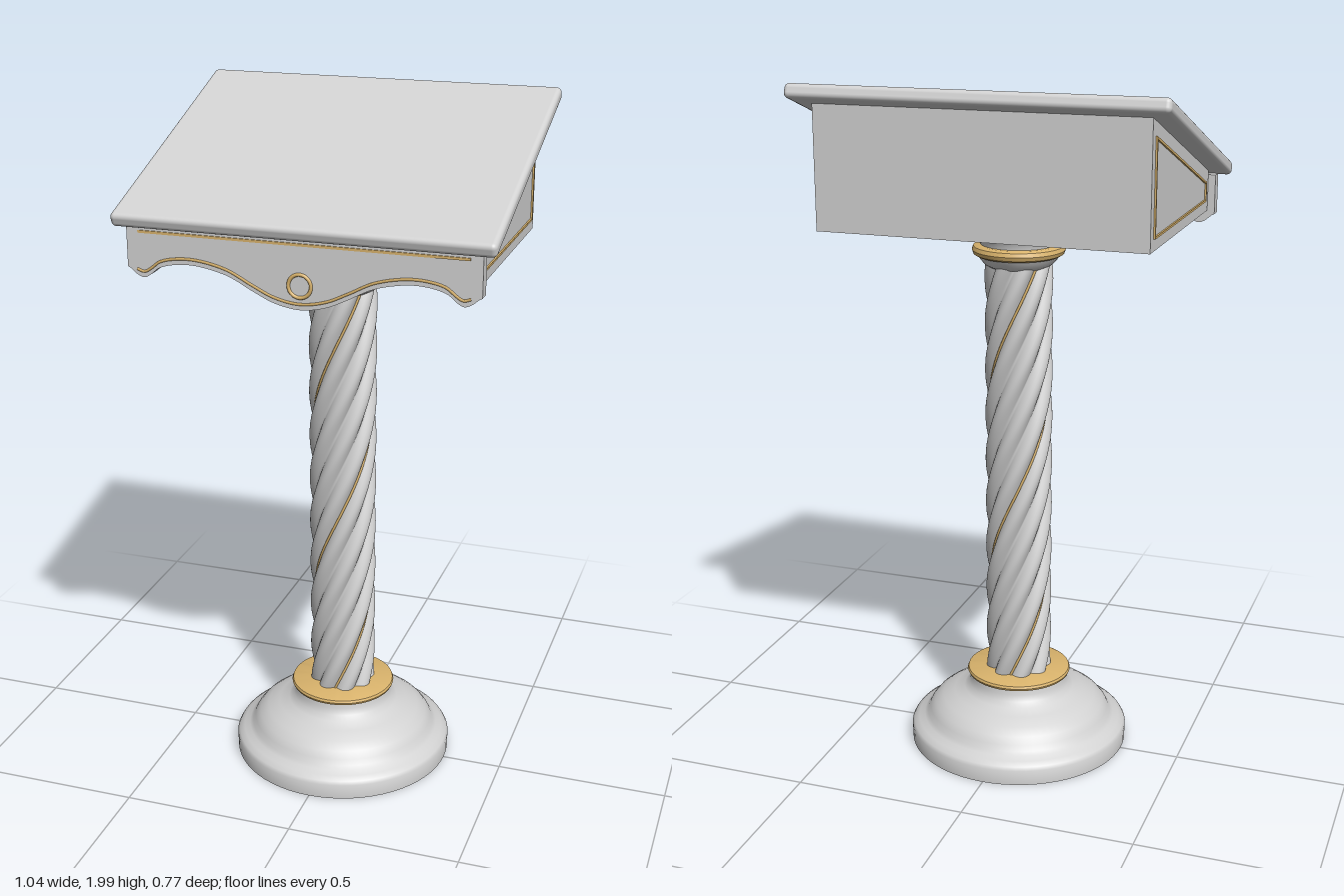
import * as THREE from 'three';
import { mergeVertices, toCreasedNormals } from 'three/addons/utils/BufferGeometryUtils.js';
import { RoundedBoxGeometry } from 'three/addons/geometries/RoundedBoxGeometry.js';

export function createModel() {
  const model = new THREE.Group();
  model.name = 'lectern';

  const paint = (name, color) => {
    const m = new THREE.MeshStandardMaterial({ color });
    m.name = name;
    return m;
  };
  const stone = paint('pale stone', 0xd2d2d2);
  const gold = paint('gold', 0xd9b36c);

  const add = (name, geometry, material, x = 0, y = 0, z = 0) => {
    const mesh = new THREE.Mesh(geometry, material);
    mesh.name = name;
    mesh.position.set(x, y, z);
    model.add(mesh);
    return mesh;
  };
  const vectors = (pts) => pts.map(([x, y]) => new THREE.Vector2(x, y));
  const turned = (name, pts, material) =>
    add(name, toCreasedNormals(new THREE.LatheGeometry(vectors(pts), 64), 0.6), material);

  // Turned foot and its gold collar
  turned('base', [
    [0, 0.01], [0.325, 0.01], [0.326, 0.055], [0.32, 0.065], [0.305, 0.075], [0.288, 0.083],
    [0.278, 0.092], [0.27, 0.108], [0.255, 0.127], [0.23, 0.145], [0.195, 0.16], [0.165, 0.173],
    [0.15, 0.186], [0.143, 0.205], [0.141, 0.222], [0, 0.222],
  ], stone);
  turned('baseCollar', [
    [0, 0.22], [0.145, 0.22], [0.152, 0.223], [0.155, 0.23], [0.152, 0.237], [0.145, 0.24], [0, 0.24],
  ], gold);

  // Twisted column: eight rounded strands, turning with height
  const bottom = 0.235, height = 1.265, strands = 8;
  const turnPerUnit = (Math.PI * 2) / 1.08;
  const columnGeo = new THREE.CylinderGeometry(1, 1, height, 96, 120, true);
  columnGeo.deleteAttribute('uv');
  columnGeo.deleteAttribute('normal');
  const p = columnGeo.attributes.position;
  for (let i = 0; i < p.count; i++) {
    const a = Math.atan2(p.getX(i), p.getZ(i));
    const y = p.getY(i) + height / 2;
    const r = 0.077 + 0.02 * Math.abs(Math.sin((a * strands) / 2));
    const t = a + y * turnPerUnit;
    p.setXYZ(i, r * Math.sin(t), y, r * Math.cos(t));
  }
  const column = mergeVertices(columnGeo, 1e-5);
  column.computeVertexNormals();
  add('twistedColumn', column, stone, 0, bottom);

  // Fine gold threads lying in two of the grooves
  for (const start of [0, Math.PI]) {
    const pts = [];
    for (let i = 0; i <= 60; i++) {
      const y = (height * i) / 60, t = start + y * turnPerUnit;
      pts.push(new THREE.Vector3(0.08 * Math.sin(t), y, 0.08 * Math.cos(t)));
    }
    const thread = new THREE.TubeGeometry(new THREE.CatmullRomCurve3(pts), 180, 0.004, 6);
    add('columnThread', thread, gold, 0, bottom);
  }

  // Capital under the desk
  turned('capitalNeck', [
    [0, 1.475], [0.085, 1.475], [0.098, 1.483], [0.11, 1.497], [0.117, 1.512], [0, 1.512],
  ], stone);
  turned('capitalRing', [
    [0, 1.507], [0.12, 1.507], [0.128, 1.512], [0.132, 1.523], [0.128, 1.534], [0.12, 1.539], [0, 1.539],
  ], gold);
  turned('capitalTop', [
    [0, 1.537], [0.108, 1.537], [0.11, 1.555], [0.118, 1.567], [0.135, 1.576], [0.149, 1.582],
    [0.149, 1.603], [0, 1.603],
  ], stone);

  // Side outlines are drawn as (-z, y) and extruded along x
  const extrudeAlongX = (shape, depth) =>
    new THREE.ExtrudeGeometry(shape, { depth, bevelEnabled: false }).rotateY(Math.PI / 2);

  // Wedge-shaped desk body
  const body = new THREE.Shape(vectors([[-0.32, 1.603], [0.33, 1.603], [0.33, 1.945], [-0.32, 1.719]]));
  add('deskBody', extrudeAlongX(body, 0.926), stone, -0.463);

  // Thin gold frame on each side of the desk
  const frame = new THREE.Shape(vectors([[-0.285, 1.635], [0.3, 1.635], [0.3, 1.895], [-0.285, 1.69]]));
  frame.holes.push(new THREE.Path(vectors(
    [[-0.279, 1.641], [-0.279, 1.6857], [0.294, 1.886], [0.294, 1.641]])));
  for (const x of [0.463, -0.468]) add('sideFrame', extrudeAlongX(frame, 0.005), gold, x);

  // Sloping book board
  const board = add('bookBoard', new RoundedBoxGeometry(1.04, 0.04, 0.81, 4, 0.014), stone, 0, 1.85, 0);
  board.rotation.x = 0.335;

  // Scalloped apron below the front edge
  const half = [[0.475, 1.588], [0.455, 1.572], [0.435, 1.566], [0.415, 1.577], [0.39, 1.596], [0.34, 1.608],
    [0.28, 1.608], [0.2, 1.59], [0.13, 1.555], [0.07, 1.528]];
  const edge = [...half.map(([x, y]) => [-x, y]), [0, 1.516], ...half.slice().reverse()];
  const apron = new THREE.Shape();
  apron.moveTo(0.483, 1.705);
  apron.lineTo(-0.483, 1.705);
  apron.lineTo(-0.483, 1.592);
  apron.lineTo(...edge[0]);
  apron.splineThru(vectors(edge.slice(1)));
  apron.lineTo(0.483, 1.592);
  apron.closePath();
  const apronGeo = new THREE.ExtrudeGeometry(apron, { depth: 0.035, bevelEnabled: false, curveSegments: 4 });
  add('apron', toCreasedNormals(apronGeo, 0.5), stone, 0, 0, 0.325);
  add('apronBacking', new THREE.BoxGeometry(0.9, 0.09, 0.01), stone, 0, 1.655, 0.321);

  // Gold line following the scallop, straight line above, and centre ring
  const face = 0.36;
  const linePts = edge.filter(([x]) => Math.abs(x) < 0.46)
    .map(([x, y]) => new THREE.Vector3(x, y + 0.016, face));
  add('apronScallopLine',
    new THREE.TubeGeometry(new THREE.CatmullRomCurve3(linePts), 100, 0.004, 6), gold);
  add('apronTopLine', new THREE.BoxGeometry(0.9, 0.007, 0.006), gold, 0, 1.69, face);
  add('apronRing', new THREE.TorusGeometry(0.031, 0.005, 8, 40), gold, 0, 1.58, face);

  return model;
}
